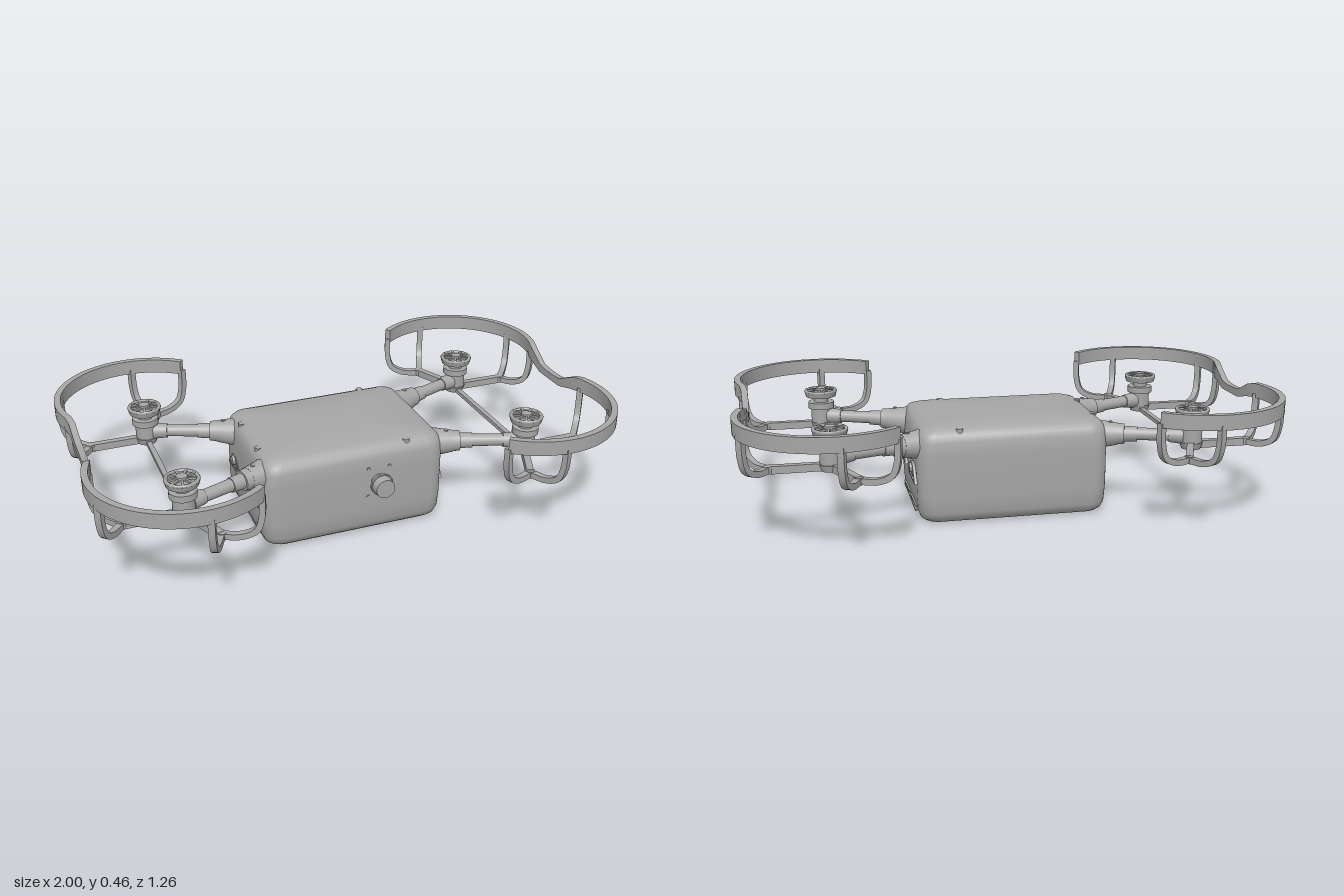
import * as THREE from 'three';
import { toCreasedNormals } from 'three/addons/utils/BufferGeometryUtils.js';

const V = (x, y, z) => new THREE.Vector3(x, y, z);
const grey = new THREE.MeshStandardMaterial({ color: 0xa6a6a6 });
grey.name = 'plain grey';
const MX = 0.668, MZ = 0.297; // motor axis

function add(parent, name, geo, x = 0, y = 0, z = 0) {
  const m = new THREE.Mesh(geo, grey);
  m.name = name;
  m.position.set(x, y, z);
  parent.add(m);
  return m;
}

// Skin through equal loops of points, closed at both ends
function skin(loops, crease = 0.6) {
  const n = loops[0].length, pos = [], idx = [];
  loops.flat().forEach(p => pos.push(p.x, p.y, p.z));
  for (let r = 0; r < loops.length - 1; r++) for (let i = 0; i < n; i++) {
    const a = r * n + i, b = r * n + (i + 1) % n;
    idx.push(a, b, b + n, a, b + n, a + n);
  }
  [0, loops.length - 1].forEach((r, end) => {
    const c = loops[r].reduce((s, p) => s.add(p), V(0, 0, 0)).divideScalar(n);
    const ci = pos.length / 3;
    pos.push(c.x, c.y, c.z);
    for (let i = 0; i < n; i++) {
      const a = r * n + i, b = r * n + (i + 1) % n;
      end ? idx.push(ci, a, b) : idx.push(ci, b, a);
    }
  });
  const g = new THREE.BufferGeometry();
  g.setAttribute('position', new THREE.Float32BufferAttribute(pos, 3));
  g.setIndex(idx);
  return toCreasedNormals(g, crease);
}

// Rectangular bar through frames {p, a, b}: centre and two half-width vectors
function bar(frames) {
  const t = frames[1].p.clone().sub(frames[0].p);
  const s = frames[0].a.clone().cross(frames[0].b).dot(t) < 0 ? -1 : 1;
  return skin(frames.map(({ p, a, b }) => [[1, 1], [-1, 1], [-1, -1], [1, -1]].map(([u, v]) =>
    p.clone().addScaledVector(a, u * s).addScaledVector(b, v))));
}

// Round rod between two points
function rod(parent, name, p0, p1, r0, r1 = r0) {
  const d = p1.clone().sub(p0);
  const m = add(parent, name, new THREE.CylinderGeometry(r1, r0, d.length(), 24));
  m.position.copy(p0).addScaledVector(d, 0.5);
  m.quaternion.setFromUnitVectors(V(0, 1, 0), d.normalize());
  return m;
}

function roundedLoop(y, hx, hz, r) {
  const pts = [];
  [[1, 1], [1, -1], [-1, -1], [-1, 1]].forEach(([sx, sz], q) => {
    for (let i = 0; i <= 8; i++) {
      const t = (q + i / 8) * Math.PI / 2;
      pts.push(V(sx * (hx - r) + r * Math.sin(t), y, sz * (hz - r) + r * Math.cos(t)));
    }
  });
  return pts;
}

// Thin curved strut leaving a joint and rising to the guard
function branch(parent, j, e) {
  const at = (t, y) => V(j.x + (e.x - j.x) * t, y, j.z + (e.z - j.z) * t);
  const curve = new THREE.CatmullRomCurve3([at(0, 0.264), at(0.5, 0.266), at(0.85, 0.29), at(0.98, 0.34), at(1, 0.42)]);
  const side = V(e.z - j.z, 0, j.x - e.x).normalize();
  const frames = [];
  for (let i = 0; i <= 14; i++) {
    const b = curve.getTangent(i / 14).cross(side).normalize().multiplyScalar(0.011);
    frames.push({ p: curve.getPoint(i / 14), a: side.clone().multiplyScalar(0.012), b });
  }
  add(parent, 'guardStrut', bar(frames));
}

// Guard band joining the two rings on one side
function guardBand(parent) {
  const half = [];
  for (let i = 0; i <= 36; i++) {
    const t = THREE.MathUtils.degToRad(131 - i * 151 / 36);
    half.push([MX + 0.32 * Math.cos(t), MZ + 0.32 * Math.sin(t), 0.405, 0.46]);
  }
  half.push([0.961, 0.15, 0.4, 0.45], [0.957, 0.075, 0.38, 0.412], [0.956, 0.03, 0.38, 0.408]);
  const all = [...half, ...half.slice().reverse().map(([x, z, lo, hi]) => [x, -z, lo, hi])];
  add(parent, 'guardBand', bar(all.map(([x, z, lo, hi], i) => {
    const p = all[Math.max(i - 1, 0)], n = all[Math.min(i + 1, all.length - 1)];
    const a = V(n[1] - p[1], 0, p[0] - n[0]).normalize().multiplyScalar(0.012);
    return { p: V(x, (lo + hi) / 2, z), a, b: V(0, (hi - lo) / 2, 0) };
  })));
}

function motor(sz) {
  const g = new THREE.Group();
  g.name = 'motor';
  g.position.set(MX, 0, sz * MZ);
  const disc = (name, r0, r1, y0, y1) =>
    add(g, name, new THREE.CylinderGeometry(r1, r0, y1 - y0, 32), 0, (y0 + y1) / 2, 0);
  disc('motorFoot', 0.036, 0.044, 0.25, 0.275);
  disc('motorMount', 0.04, 0.04, 0.275, 0.33);
  disc('motorStator', 0.05, 0.05, 0.33, 0.355);
  disc('motorNeck', 0.028, 0.028, 0.355, 0.385);
  disc('motorBell', 0.058, 0.064, 0.377, 0.397);
  disc('motorHub', 0.022, 0.02, 0.395, 0.41);
  const rim = add(g, 'motorRim', new THREE.TorusGeometry(0.057, 0.007, 8, 32), 0, 0.398, 0);
  rim.rotation.x = Math.PI / 2;
  for (let i = 0; i < 9; i++) {
    const t = i * Math.PI * 2 / 9;
    const s = add(g, 'motorSpoke', new THREE.BoxGeometry(0.042, 0.008, 0.009), 0.037 * Math.cos(t), 0.4, -0.037 * Math.sin(t));
    s.rotation.y = t;
  }
  return g;
}

// Hooded sensor and its lens on the body end
function sensor(parent, z) {
  const s = new THREE.Shape([[-0.08, 0.145], [0.08, 0.145], [0.07, 0.163], [0.035, 0.2], [0.02, 0.21],
    [-0.02, 0.21], [-0.035, 0.2], [-0.07, 0.163]].map(p => new THREE.Vector2(...p)));
  s.holes.push(new THREE.Path([[-0.066, 0.151], [-0.03, 0.19], [0.03, 0.19], [0.066, 0.151]].map(p => new THREE.Vector2(...p))));
  const hood = add(parent, 'sensorHood', new THREE.ExtrudeGeometry(s, { depth: 0.012, bevelEnabled: false }), 0.354, 0, z);
  hood.rotation.y = Math.PI / 2;
  rod(parent, 'sensorLens', V(0.35, 0.19, z), V(0.375, 0.19, z), 0.022, 0.017);
  add(parent, 'sensorFoot', new THREE.BoxGeometry(0.012, 0.012, 0.07), 0.36, 0.168, z);
}

// Everything outboard of one end of the body
function side(name) {
  const g = new THREE.Group();
  g.name = name;
  guardBand(g);
  add(g, 'motorBrace', new THREE.BoxGeometry(0.02, 0.016, MZ * 2), MX, 0.259, 0);
  for (const sz of [1, -1]) {
    g.add(motor(sz));
    const arm = (x, y) => V(x, y, sz * (MZ - (MX - x) * 0.37));
    rod(g, 'arm', arm(0.38, 0.295), arm(0.66, 0.297), 0.025, 0.022);
    rod(g, 'armShoulder', arm(0.25, 0.285), arm(0.41, 0.293), 0.072, 0.042);
    rod(g, 'armCollar', arm(0.4, 0.293), arm(0.435, 0.294), 0.042, 0.038);
    rod(g, 'armSleeve', arm(0.43, 0.294), arm(0.48, 0.295), 0.03, 0.028);
    rod(g, 'armScrew', arm(0.385, 0.32), arm(0.385, 0.341), 0.008);
    rod(g, 'armClamp', arm(0.59, 0.296), arm(0.64, 0.296), 0.027, 0.032);
    const forks = [
      [V(0.588, 0, 0.485), V(0.458, 0, 0.54), V(0.65, 0, 0.616)],
      [V(0.885, 0, MZ), V(0.97, 0, 0.4), V(0.968, 0, 0.195)]];
    for (const [joint, ...ends] of forks) {
      const j = V(joint.x, 0.264, joint.z * sz), m = V(MX, 0.264, MZ * sz);
      const d = j.clone().sub(m).normalize();
      const a = V(d.z, 0, -d.x).multiplyScalar(0.013), b = V(0, 0.014, 0);
      add(g, 'guardSpar', bar([{ p: m, a, b }, { p: j, a, b }]));
      add(g, 'sparJoint', new THREE.CylinderGeometry(0.017, 0.017, 0.026, 16), j.x, j.y, j.z);
      ends.forEach(e => branch(g, j, V(e.x, 0, e.z * sz)));
    }
    sensor(g, sz * 0.133);
  }
  // vent slots
  for (const [y, z, len] of [[0.045, 0.09, 0.14], [0.045, -0.09, 0.14], [0.032, 0.05, 0.22], [0.028, -0.11, 0.1]])
    add(g, 'ventSlot', new THREE.BoxGeometry(0.008, 0.006, len), 0.354, y, z);
  return g;
}

export function createModel() {
  const model = new THREE.Group();
  model.name = 'quadDrone';

  // main body
  add(model, 'body', skin([
    [0, 0.315, 0.215, 0.05], [0.004, 0.332, 0.235, 0.055], [0.016, 0.346, 0.25, 0.06], [0.04, 0.355, 0.259, 0.062],
    [0.1, 0.359, 0.262, 0.062], [0.26, 0.36, 0.262, 0.062], [0.31, 0.357, 0.26, 0.062], [0.335, 0.35, 0.252, 0.06],
    [0.35, 0.338, 0.238, 0.055], [0.359, 0.315, 0.215, 0.05], [0.369, 0.16, 0.11, 0.03],
  ].map(l => roundedLoop(...l))), -0.004, 0, -0.002);

  // arms, motors and guards at both ends
  const left = side('leftSide'), right = side('rightSide');
  right.rotation.y = Math.PI;
  model.add(left, right);

  // front camera with its four screws
  const cx = 0.08, cy = 0.215;
  rod(model, 'cameraBase', V(cx, cy, 0.25), V(cx, cy, 0.29), 0.03);
  rod(model, 'cameraFlange', V(cx, cy, 0.285), V(cx, cy, 0.295), 0.044);
  rod(model, 'cameraBarrel', V(cx, cy, 0.295), V(cx, cy, 0.328), 0.04, 0.037);
  rod(model, 'cameraPin', V(cx, 0.166, 0.3), V(cx, 0.19, 0.3), 0.006);
  for (const sx of [-1, 1]) for (const sy of [-1, 1])
    rod(model, 'cameraScrew', V(cx + sx * 0.042, cy + sy * 0.058, 0.25), V(cx + sx * 0.042, cy + sy * 0.058, 0.264), 0.006);

  // lid screws
  for (const [x, z] of [[-0.335, -0.11], [-0.335, 0.1], [0.2, -0.235], [0.2, 0.23]])
    rod(model, 'lidScrew', V(x, 0.335, z), V(x, 0.357, z), 0.013);

  // underside frames and sensor ring
  for (const x of [0.05, -0.045]) for (const z of [0.03, 0.14]) {
    for (const s of [-1, 1]) {
      add(model, 'bellyFrame', new THREE.BoxGeometry(0.075, 0.006, 0.006), x, 0.003, z + s * 0.038);
      add(model, 'bellyFrame', new THREE.BoxGeometry(0.006, 0.006, 0.076), x + s * 0.035, 0.003, z);
    }
  }
  const ring = add(model, 'bellyRing', new THREE.TorusGeometry(0.024, 0.004, 8, 24), 0.165, 0.004, 0.09);
  ring.rotation.x = Math.PI / 2;
  return model;
}
